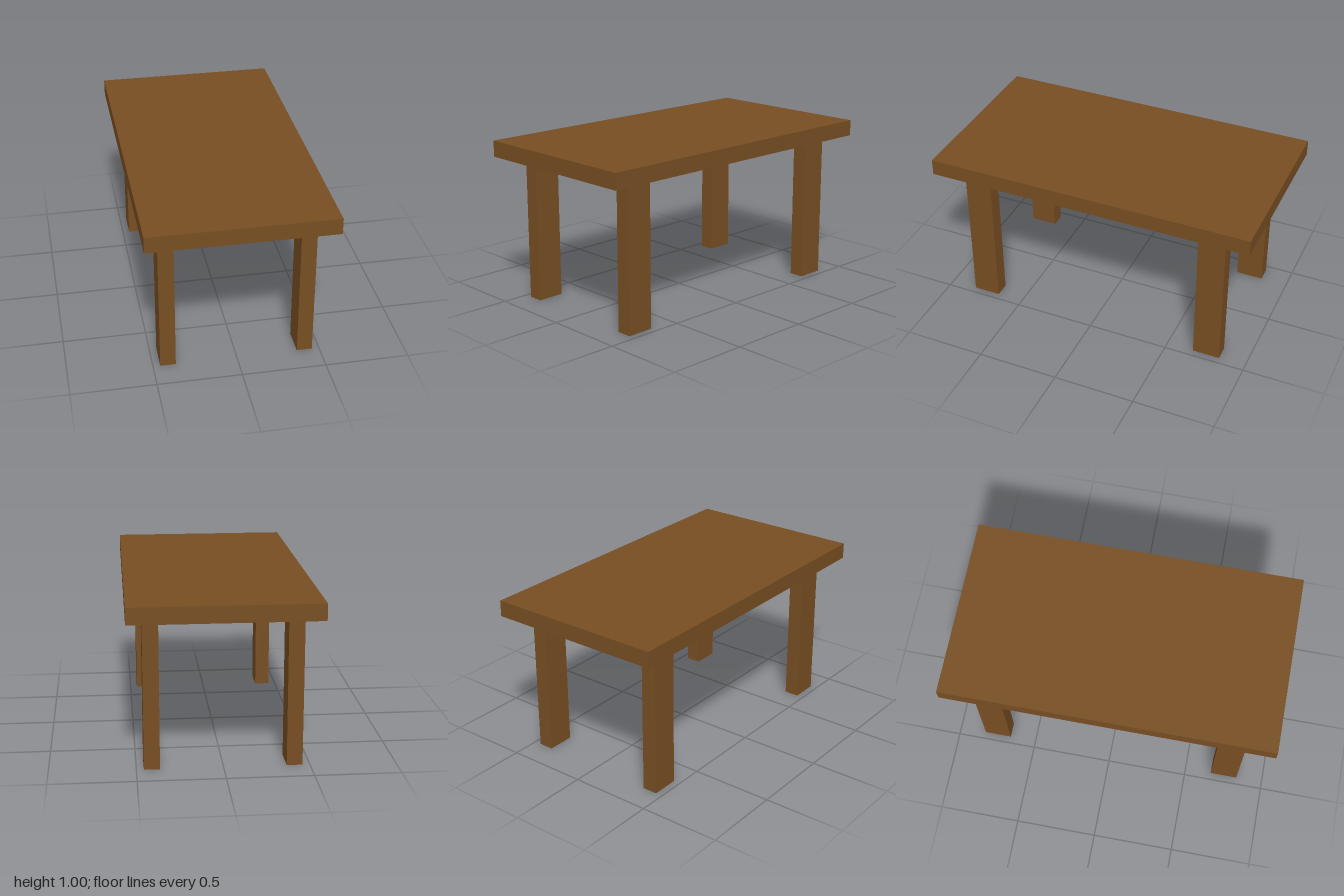
import * as THREE from 'three';

export function createModel() {
  const table = new THREE.Group();
  table.name = 'table';
  const wood = new THREE.MeshStandardMaterial({ color: 0x774e22 });
  wood.name = 'brown wood';

  const addBox = (name, size, position) => {
    const mesh = new THREE.Mesh(new THREE.BoxGeometry(...size), wood);
    mesh.name = name;
    mesh.position.set(...position);
    table.add(mesh);
  };

  const height = 1, topThickness = 0.098;
  const legHeight = height - topThickness;

  // Slab top
  addBox('tabletop', [1.098, topThickness, 2], [0, height - topThickness / 2, 0]);

  // Four legs, set in from the corners
  for (const [end, z] of [['front', 0.75], ['back', -0.75]]) {
    for (const [side, x] of [['Left', 0.411], ['Right', -0.411]]) {
      addBox(`${end}${side}Leg`, [0.092, legHeight, 0.167], [x, legHeight / 2, z]);
    }
  }
  return table;
}
